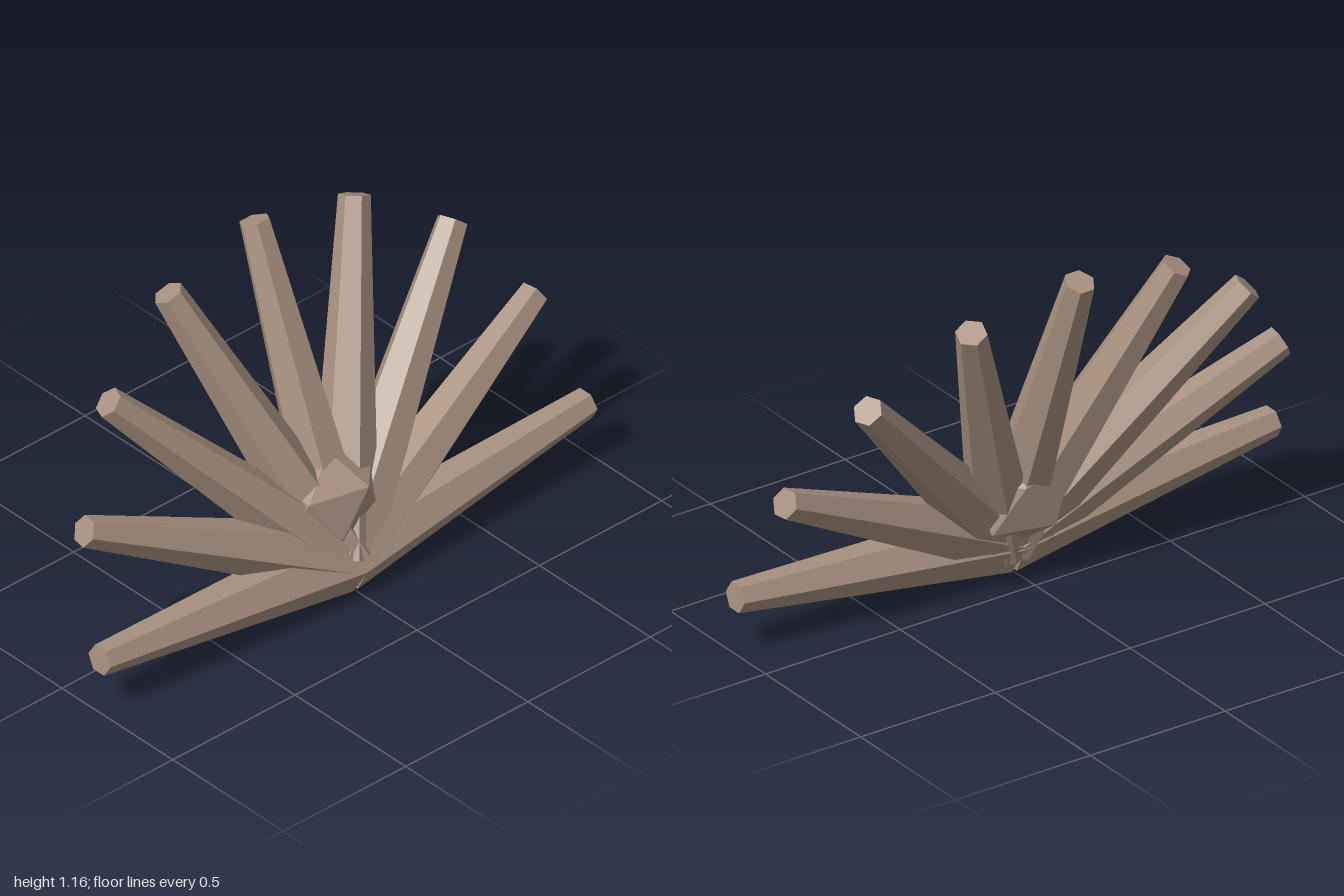
import * as THREE from 'three';
import { ConvexGeometry } from 'three/addons/geometries/ConvexGeometry.js';

export function createModel() {
  const model = new THREE.Group();
  model.name = 'crystalFan';
  const clay = new THREE.MeshStandardMaterial({ color: 0xa89180, flatShading: true });
  clay.name = 'dusty brown';

  // Nine tapered six-sided columns fanning out from one point, leaning back
  const root = new THREE.Vector3(0, 0.095, 0.165);
  const count = 9;
  for (let i = 0; i < count; i++) {
    const a = -Math.PI / 2 + (Math.PI * i) / (count - 1);
    const axis = new THREE.Vector3(
      0.996 * Math.sin(a), 0.096 + 0.95 * Math.cos(a), -0.4 * Math.cos(a));
    const length = axis.length();
    const geometry = new THREE.CylinderGeometry(0.05, 0.11, length, 6, 1, false, Math.PI / 2);
    geometry.translate(0, length / 2, 0).rotateX(Math.PI / 2);
    const column = new THREE.Mesh(geometry, clay);
    column.name = 'column' + (i + 1);
    column.position.copy(root);
    column.lookAt(root.clone().add(axis));
    model.add(column);
  }

  // Stretched twenty-sided knot at the heart of the fan
  const points = [new THREE.Vector3(0, 1, 0), new THREE.Vector3(0, -1, 0)];
  const h = 1 / Math.sqrt(5);
  for (let i = 0; i < 5; i++) {
    const a = (i * Math.PI * 2) / 5;
    const x = 2 * h * Math.cos(a), z = 2 * h * Math.sin(a);
    points.push(new THREE.Vector3(x, h, z), new THREE.Vector3(-x, -h, z));
  }
  const knot = new THREE.Mesh(new ConvexGeometry(points).scale(0.2, 0.173, 0.149), clay);
  knot.name = 'knot';
  knot.position.set(0, 0.283, 0.095);
  model.add(knot);

  return model;
}
